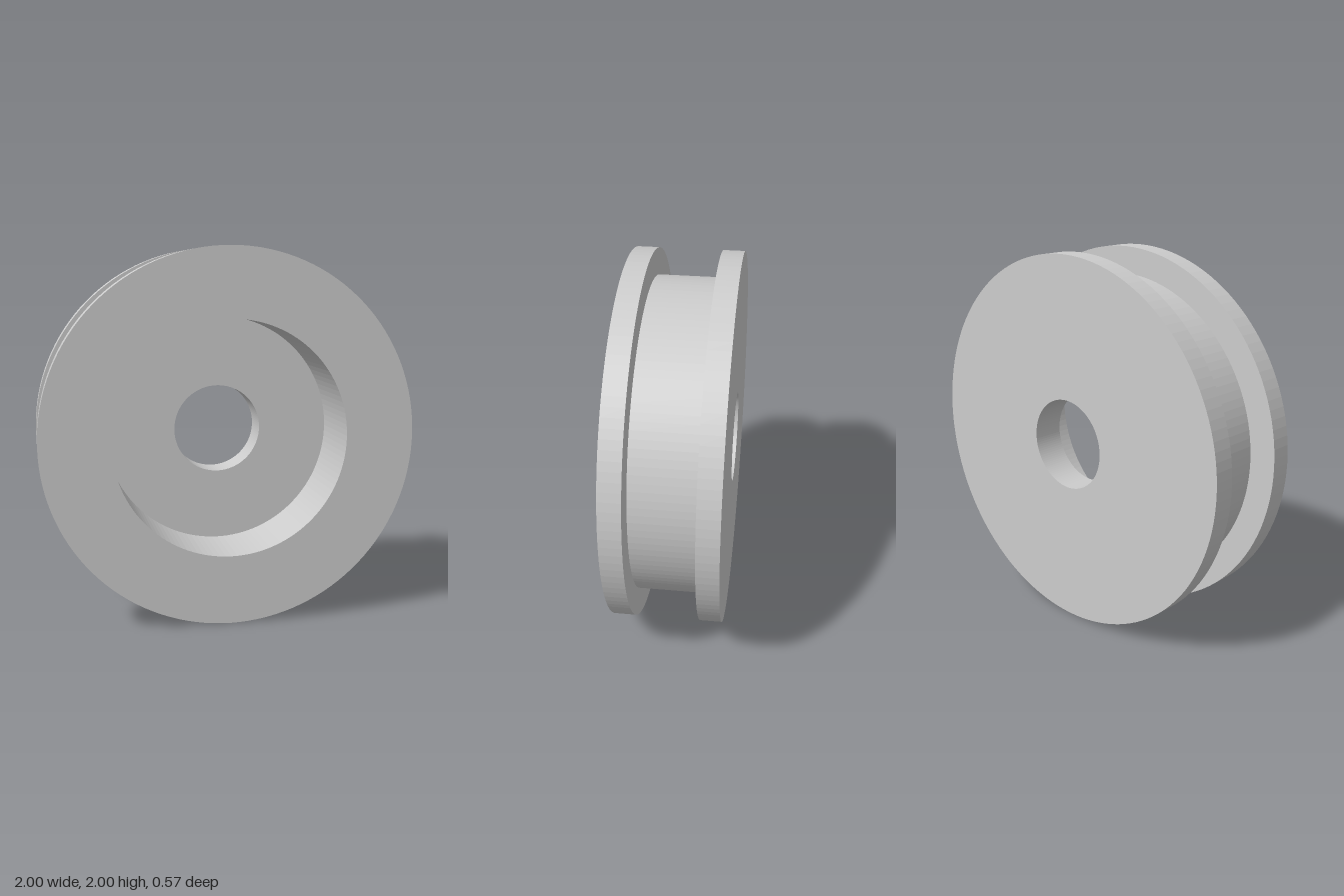
import * as THREE from 'three';

const SEGMENTS = 128;

export function createModel() {
  const model = new THREE.Group();
  model.name = 'flangedWheel';
  const grey = new THREE.MeshStandardMaterial({ color: 0xcccccc, flatShading: true });
  grey.name = 'plain grey';

  const rim = 1, groove = 0.857, recess = 0.629, bore = 0.243; // radii
  const face = 0.286, grooveEdge = 0.171, floor = -0.114;      // positions along the axle

  // Each part is a run of [radius, z] points, turned around the z axis.
  const parts = {
    backFace: [[bore, -face], [rim, -face]],
    backFlange: [[rim, -face], [rim, -grooveEdge], [groove, -grooveEdge]],
    grooveWall: [[groove, -grooveEdge], [groove, grooveEdge]],
    frontFlange: [[groove, grooveEdge], [rim, grooveEdge], [rim, face]],
    frontFace: [[rim, face], [recess, face]],
    recessWall: [[recess, face], [recess, floor]],
    recessFloor: [[recess, floor], [bore, floor]],
    axleBore: [[bore, floor], [bore, -face]],
  };

  for (const [name, profile] of Object.entries(parts)) {
    const points = profile.map(([r, z]) => new THREE.Vector2(r, z));
    const geometry = new THREE.LatheGeometry(points, SEGMENTS);
    geometry.rotateX(Math.PI / 2); // lay the axle along z
    geometry.translate(0, rim, 0); // stand on the ground
    const mesh = new THREE.Mesh(geometry, grey);
    mesh.name = name;
    model.add(mesh);
  }
  return model;
}
